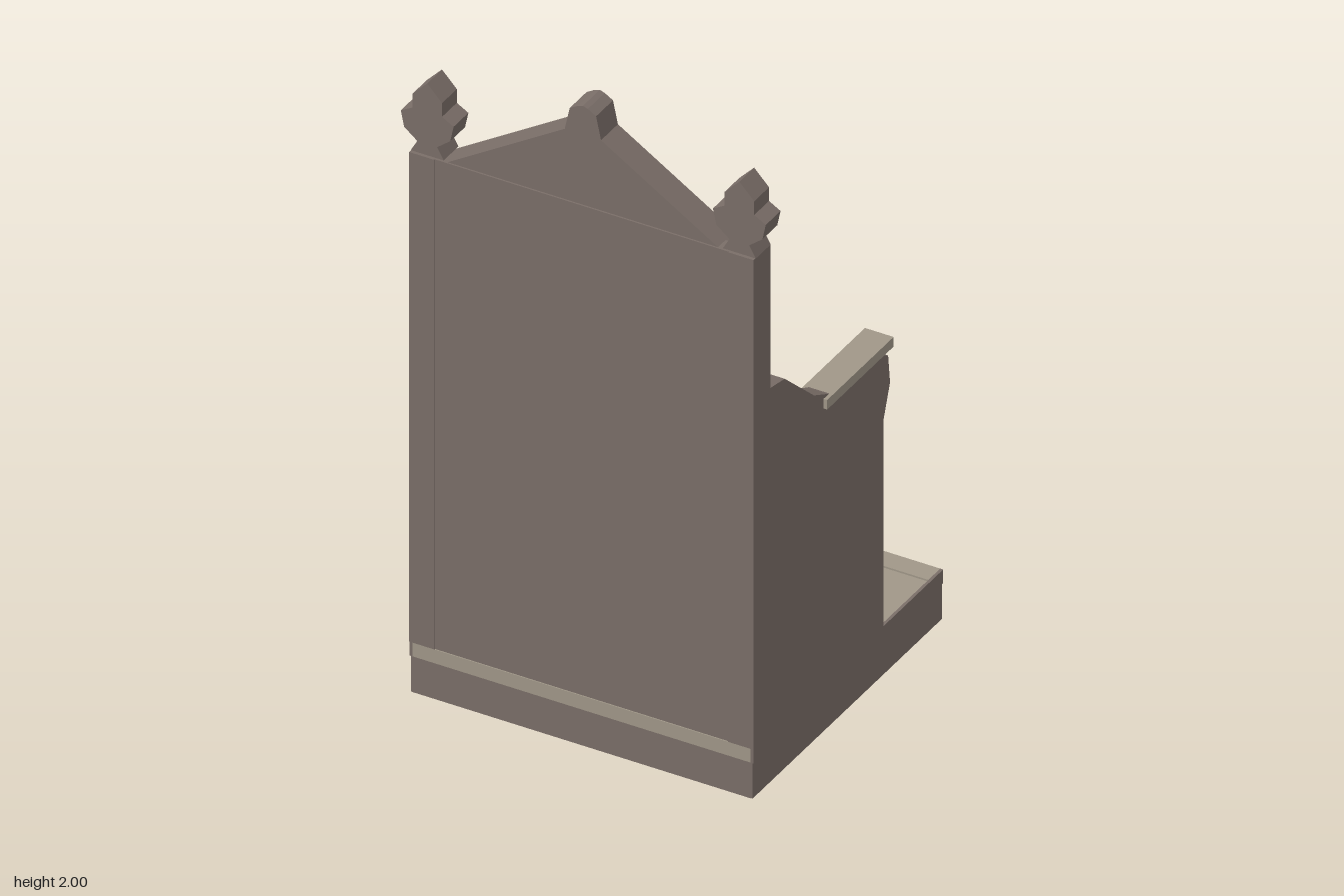
import * as THREE from 'three';

const darkWood = new THREE.MeshStandardMaterial({ color: 0x7a6e68 });
darkWood.name = 'dark wood';
const lightWood = new THREE.MeshStandardMaterial({ color: 0xa09788 });
lightWood.name = 'light wood';
const cushionCloth = new THREE.MeshStandardMaterial({ color: 0x2b2020 });
cushionCloth.name = 'cushion cloth';

export function createModel() {
  const group = new THREE.Group();

  const add = (name, geometry, material) => {
    const mesh = new THREE.Mesh(geometry, material);
    mesh.name = name;
    group.add(mesh);
    return mesh;
  };
  // box given by its lower and upper bounds
  const box = (name, material, x0, x1, y0, y1, z0, z1) => {
    const g = new THREE.BoxGeometry(x1 - x0, y1 - y0, z1 - z0);
    g.translate((x0 + x1) / 2, (y0 + y1) / 2, (z0 + z1) / 2);
    return add(name, g, material);
  };
  const polygon = (points) => new THREE.Shape(points.map(([x, y]) => new THREE.Vector2(x, y)));
  // flat outline in x, y given thickness from z0 to z1
  const slab = (shape, z0, z1) =>
    new THREE.ExtrudeGeometry(shape, { depth: z1 - z0, bevelEnabled: false, curveSegments: 20 }).translate(0, 0, z0);
  // mirror half an outline about x = 0
  const mirrored = (half) => [...half, ...half.filter(([x]) => x > 0).reverse().map(([x, y]) => [-x, y])];
  const rect = (x, y0, y1) => polygon([[-x, y0], [x, y0], [x, y1], [-x, y1]]);
  const archHole = (cx, radius, bottom, spring) => {
    const path = new THREE.Path();
    path.moveTo(cx - radius, bottom);
    path.lineTo(cx + radius, bottom);
    path.lineTo(cx + radius, spring);
    path.absarc(cx, spring, radius, 0, Math.PI, false);
    path.lineTo(cx - radius, bottom);
    return path;
  };

  // hollow plinth
  box('plinthBack', darkWood, -0.515, 0.515, 0, 0.112, 0.455, 0.5);
  box('plinthFront', darkWood, -0.515, 0.515, 0, 0.112, -0.5, -0.455);

  // floor slab and separate front nosing
  box('floorSlab', lightWood, -0.512, 0.512, 0.112, 0.155, -0.43, 0.5);
  box('stepNosing', lightWood, -0.512, 0.512, 0.112, 0.155, -0.5, -0.437);

  // seat, front rail and cushion
  box('seat', lightWood, -0.46, 0.46, 0.655, 0.695, -0.197, 0.44);
  const cushion = polygon([[-0.33, 0.02], [-0.17, 0.14], [0.32, 0.14], [0.33, -0.24], [0.165, -0.36], [-0.33, -0.36]]);
  const cushionGeometry = slab(cushion, 0, 0.006);
  cushionGeometry.rotateX(-Math.PI / 2).translate(0, 0.695, 0);
  add('cushion', cushionGeometry, cushionCloth);

  // panel under the seat with two shallow arches
  const frontFrame = rect(0.46, 0.155, 0.655);
  for (const s of [-1, 1]) frontFrame.holes.push(archHole(s * 0.222, 0.2, 0.23, 0.445));
  add('seatArches', slab(frontFrame, -0.175, -0.155), darkWood);
  box('seatFrontPanel', darkWood, -0.46, 0.46, 0.155, 0.655, -0.155, -0.13);

  // backrest with one large arch above a rail
  box('backPanel', darkWood, -0.45, 0.45, 0.155, 1.69, 0.452, 0.497);
  const backFrame = rect(0.45, 1.09, 1.66);
  backFrame.holes.push(archHole(0, 0.39, 1.13, 1.2));
  add('backArch', slab(backFrame, 0.437, 0.452), darkWood);
  box('backRail', darkWood, -0.45, 0.45, 1.09, 1.13, 0.425, 0.452);

  // gable
  const gable = polygon(mirrored([
    [0.445, 1.61], [0.445, 1.668], [0.055, 1.91], [0.04, 1.98], [0.015, 1.995], [0, 2],
  ]));
  add('gable', slab(gable, 0.403, 0.492), darkWood);

  // stepped leaf finial outline
  const finial = mirrored([
    [0.05, 1.69], [0.03, 1.725], [0.07, 1.757], [0.08, 1.805], [0.045, 1.825], [0.045, 1.868], [0, 1.915],
  ]);
  // side profile in z, y
  const sideProfile = polygon([
    [0.42, 0.155], [0.42, 1.24], [0.335, 1.225], [0.18, 1.085], [0.11, 1.05], [0.06, 1.03],
    [-0.16, 1.02], [-0.21, 0.99], [-0.22, 0.9], [-0.185, 0.8], [-0.185, 0.155],
  ]);

  for (const s of [-1, 1]) {
    const side = s < 0 ? 'right' : 'left';
    const span = (a, b) => (s > 0 ? [a, b] : [-b, -a]);

    box(side + 'PlinthSide', darkWood, ...span(0.475, 0.518), 0, 0.112, -0.498, 0.498);
    box(side + 'StepEnd', darkWood, ...span(0.512, 0.521), 0.112, 0.155, -0.5, 0.5);
    box(side + 'BackPost', darkWood, ...span(0.445, 0.522), 0.155, 1.69, 0.412, 0.5);
    box(side + 'ArmPad', lightWood, ...span(0.445, 0.532), 1.016, 1.046, -0.22, 0.13);

    const panel = slab(sideProfile, -0.031, 0.031);
    panel.rotateY(-Math.PI / 2).translate(s * 0.49, 0, 0);
    add(side + 'ArmPanel', panel, darkWood);

    const leaf = slab(polygon(finial), 0.412, 0.49);
    add(side + 'Finial', leaf.translate(s * 0.473, 0, 0), darkWood);
  }

  return group;
}
